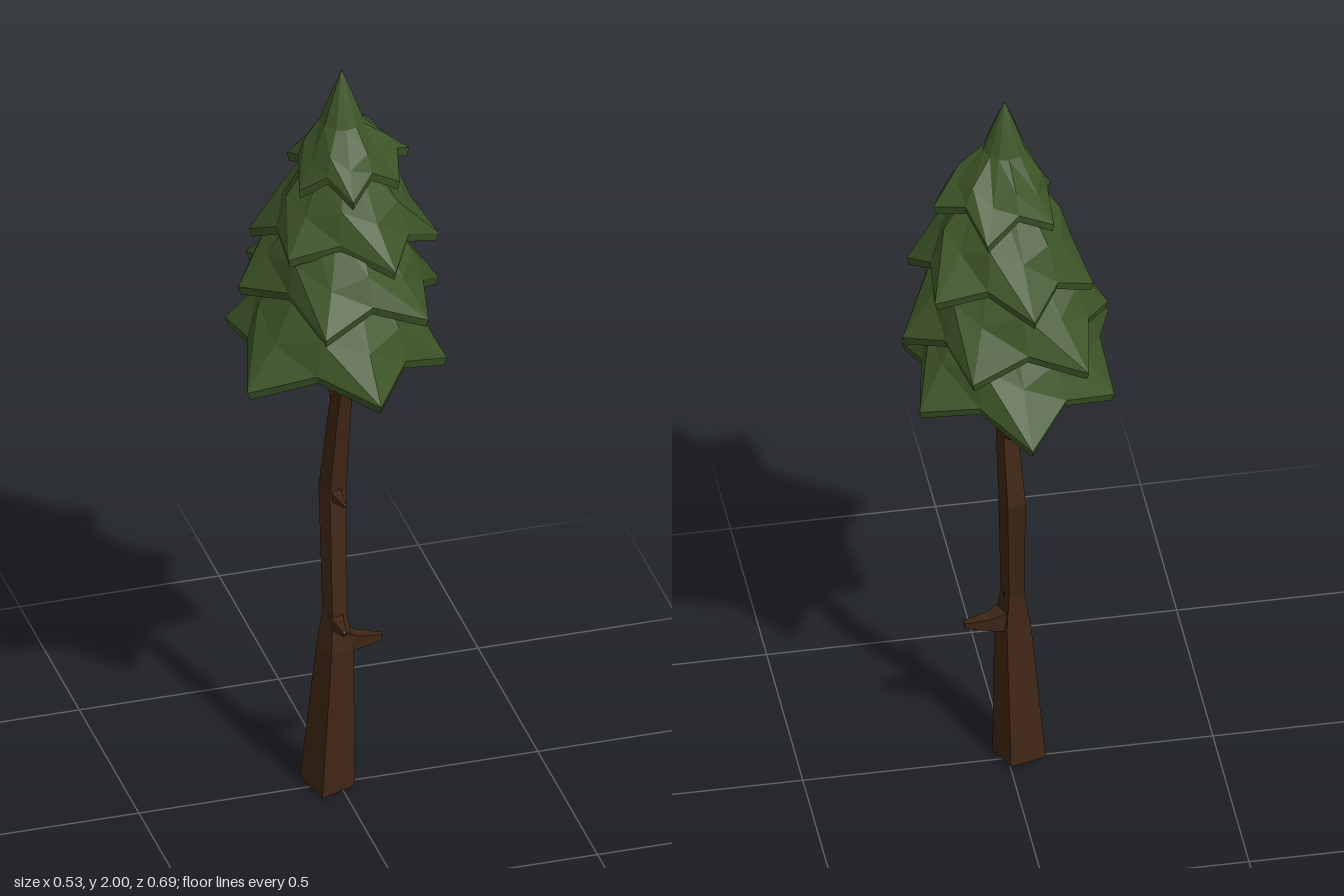
import * as THREE from 'three';

const V = (x, y, z) => new THREE.Vector3(x, y, z);
const green = new THREE.MeshStandardMaterial({ color: 0x3d5527, flatShading: true });
const brown = new THREE.MeshStandardMaterial({ color: 0x3f2616, flatShading: true });

// Skin a list of equal-length rings; a ring collapsed to one point closes the end
function loft(rings, material, name) {
  const pos = [];
  const tri = (a, b, c) => {
    const area = b.clone().sub(a).cross(c.clone().sub(a)).length();
    if (area > 1e-8) for (const p of [a, b, c]) pos.push(p.x, p.y, p.z);
  };
  for (let k = 0; k < rings.length - 1; k++) {
    const r0 = rings[k], r1 = rings[k + 1], n = r0.length;
    for (let i = 0; i < n; i++) {
      const j = (i + 1) % n;
      tri(r0[i], r1[i], r1[j]);
      tri(r0[i], r1[j], r0[j]);
    }
  }
  const geo = new THREE.BufferGeometry();
  geo.setAttribute('position', new THREE.Float32BufferAttribute(pos, 3));
  geo.computeVertexNormals();
  const mesh = new THREE.Mesh(geo, material);
  mesh.name = name;
  return mesh;
}

const collapse = (ring, p) => ring.map(() => p.clone());

// Four-sided crooked trunk: [x, y, z, radius]
function trunk() {
  const sections = [
    [-0.028, 0.01, 0.002, 0.067],
    [-0.016, 0.4, 0.025, 0.046],
    [-0.015, 0.49, 0.019, 0.03],
    [-0.004, 0.81, -0.036, 0.034],
    [0.004, 1.02, -0.008, 0.028],
    [0.01, 1.15, 0.015, 0.024],
    [0.012, 1.25, 0.003, 0.023],
    [0.01, 1.7, 0, 0.012],
  ];
  const rings = sections.map(([x, y, z, r], k) => Array.from({ length: 4 }, (_, i) => {
    const a = 0.47 + i * Math.PI / 2;
    // the foot is cut slightly askew
    const tilt = k === 0 ? -0.01 * Math.sin(a) : 0;
    return V(x + r * Math.cos(a), y + tilt, z + r * Math.sin(a));
  }));
  const ends = [sections[0], sections.at(-1)].map(([x, y, z]) => V(x, y, z));
  rings.unshift(collapse(rings[0], ends[0]));
  rings.push(collapse(rings[0], ends[1]));
  return loft(rings, brown, 'trunk');
}

// Broken branch: thick collar narrowing to a thin, slightly bent tip
function stub(from, to, radius) {
  const dir = to.clone().sub(from).normalize();
  const side = V(0, 1, 0).cross(dir).normalize();
  const other = side.clone().cross(dir);
  const rings = [[0, 1], [0.4, 0.6], [0.97, 0.25]].map(([t, s]) => {
    const c = from.clone().lerp(to, t);
    if (t === 0.4) c.y -= radius * 0.15;
    return Array.from({ length: 4 }, (_, i) => {
      const a = (i + 0.5) * Math.PI / 2;
      return c.clone().addScaledVector(side, radius * s * Math.cos(a))
        .addScaledVector(other, radius * s * Math.sin(a));
    });
  });
  rings.unshift(collapse(rings[0], from));
  rings.push(collapse(rings[0], to));
  return loft(rings, brown, 'branchStub');
}

// Hollow star-rimmed skirt; tips are [x, z, y], running from +x towards +z.
// wall and ridge say how far the shoulder is pulled in between and at the tips.
function tier({ tips, topY, topR, wall = 0.28, ridge = 0.5, spire }, index) {
  const rim = [];
  tips.forEach(([x, z, y], i) => {
    const [x2, z2, y2] = tips[(i + 1) % tips.length];
    rim.push(V(x, y + 0.02, z));
    rim.push(V((x + x2) * 0.445, (y + y2) / 2 + 0.068, (z + z2) * 0.445));
  });
  const circle = (r, y) => rim.map(p => {
    const a = Math.atan2(p.z, p.x);
    return V(0.008 + r * Math.cos(a), y, r * Math.sin(a));
  });
  const top = circle(topR, topY);
  // faceted shoulder: drooping ridges at the tips, steep walls between them
  const shoulder = rim.map((p, i) => {
    const q = p.clone().lerp(top[i], i % 2 ? wall : ridge);
    q.y = THREE.MathUtils.lerp(p.y, topY, i % 2 ? 0.45 : 0.42);
    return q;
  });
  const lip = rim.map(p => V(p.x * 0.97, p.y - 0.022, p.z * 0.97));
  const inner = shoulder.map(p => V(p.x * 0.87, p.y - 0.02, p.z * 0.87));
  const hollow = collapse(rim, V(0.008, topY - 0.05, 0));
  const rings = [hollow, inner, lip, rim, shoulder, top];
  if (spire) rings.push(circle(0.028, 1.93));
  rings.push(collapse(rim, V(0.008, spire ? 2 : topY, 0)));
  return loft(rings, green, 'foliageTier' + (index + 1));
}

export function createModel() {
  const group = new THREE.Group();
  group.name = 'pineTree';
  group.add(trunk());

  // Dead branch stubs up the trunk
  const stubs = [
    [V(-0.005, 0.42, 0.02), V(0.105, 0.405, 0.02), 0.042],
    [V(-0.015, 0.475, 0.015), V(-0.02, 0.49, 0.12), 0.032],
    [V(-0.003, 0.8, -0.03), V(0, 0.808, 0.056), 0.024],
    [V(0.004, 1.01, -0.01), V(0.01, 1.05, -0.1), 0.022],
    [V(0.01, 1.105, 0.01), V(0.055, 1.1, 0.01), 0.01],
    [V(0.012, 1.23, 0), V(0.01, 1.24, -0.045), 0.011],
  ];
  for (const s of stubs) group.add(stub(...s));

  // Overlapping foliage, lowest first
  const tiers = [
    { topY: 1.46, topR: 0.135, tips: [
      [0.24, 0.11, 1.195], [0.005, 0.345, 1.23], [-0.27, 0.14, 1.2],
      [-0.225, -0.2, 1.21], [0, -0.345, 1.175], [0.245, -0.17, 1.195]] },
    { topY: 1.61, topR: 0.11, tips: [
      [0.155, 0.24, 1.39], [-0.115, 0.28, 1.4], [-0.235, -0.055, 1.38],
      [-0.15, -0.275, 1.34], [0.13, -0.255, 1.325], [0.265, -0.045, 1.33]] },
    { topY: 1.77, topR: 0.07, tips: [
      [0.24, 0.04, 1.505], [0.08, 0.215, 1.52], [-0.155, 0.1, 1.53],
      [-0.187, -0.125, 1.495], [-0.02, -0.262, 1.5], [0.207, -0.165, 1.515]] },
    { topY: 1.86, topR: 0.053, wall: 0.3, ridge: 0.48, spire: true, tips: [
      [0.13, 0.08, 1.69], [-0.01, 0.16, 1.7], [-0.112, 0.045, 1.685],
      [-0.09, -0.13, 1.69], [0.08, -0.175, 1.68], [0.188, -0.035, 1.71]] },
  ];
  tiers.forEach((t, i) => group.add(tier(t, i)));
  return group;
}
